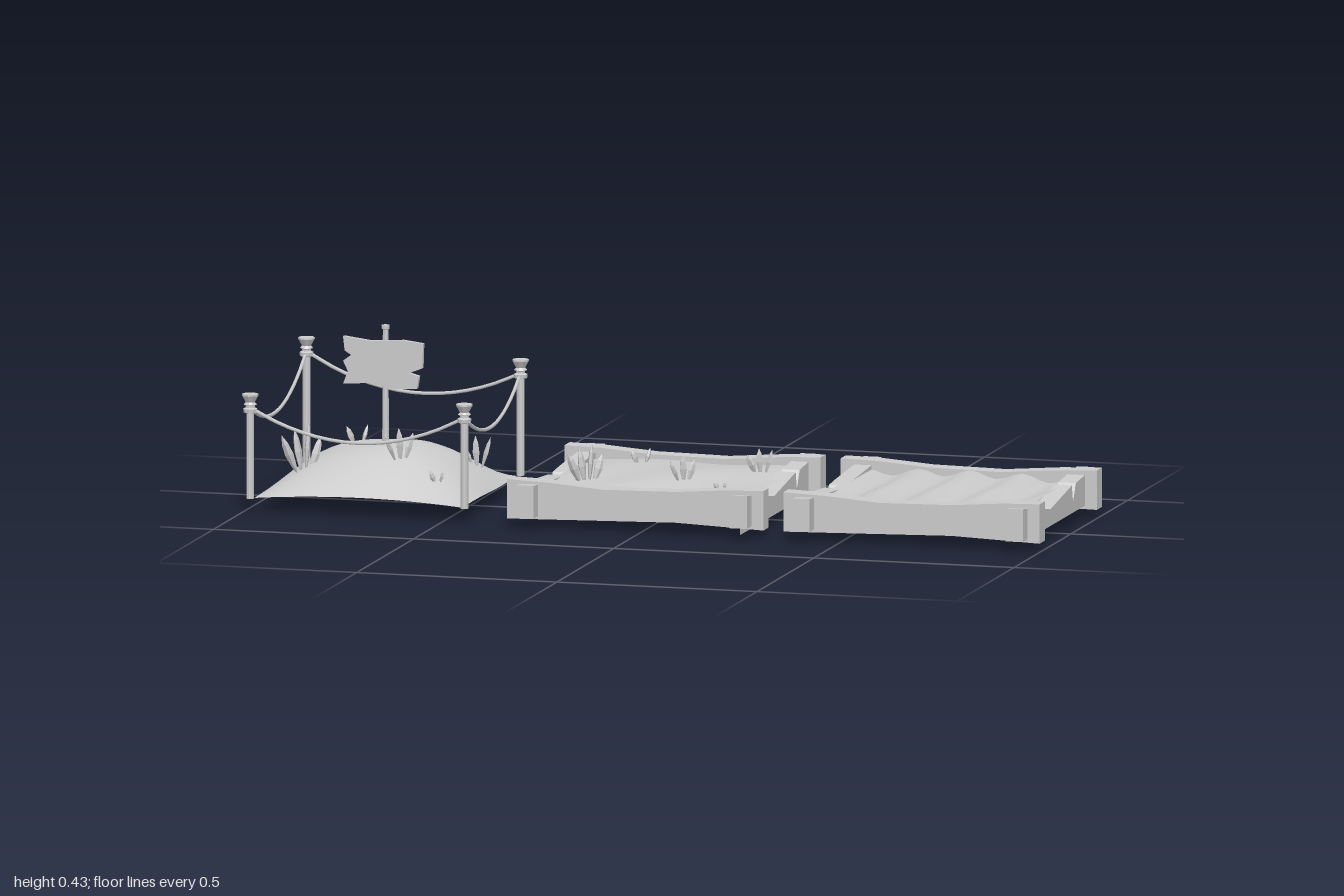
import * as THREE from 'three';

const grey = new THREE.MeshStandardMaterial({ color: 0xcccccc, flatShading: true });
const sheet = new THREE.MeshStandardMaterial({ color: 0xcccccc, side: THREE.DoubleSide });

function add(parent, name, geometry, material = grey) {
  const mesh = new THREE.Mesh(geometry, material);
  mesh.name = name;
  parent.add(mesh);
  return mesh;
}

// Soil sheet whose height follows a rule; u and v run from -1 to 1
function soil(parent, name, x, width, depth, height) {
  const g = new THREE.PlaneGeometry(width, depth, 24, 16).rotateX(-Math.PI / 2);
  const p = g.attributes.position;
  for (let i = 0; i < p.count; i++) {
    p.setY(i, height(p.getX(i) / (width / 2), p.getZ(i) / (depth / 2)));
  }
  g.computeVertexNormals();
  add(parent, name, g, sheet).position.x = x;
}

// Worn beam: a side profile of [along, up] points, extruded to its thickness
function beam(profile, thickness) {
  const shape = new THREE.Shape(profile.map(([a, b]) => new THREE.Vector2(a, b)));
  return new THREE.ExtrudeGeometry(shape, { depth: thickness, bevelEnabled: false })
    .translate(0, 0, -thickness / 2);
}

// Frame of four crossing beams
function frame(parent, x) {
  const g = new THREE.Group();
  g.name = 'bedFrame';
  g.position.x = x;
  parent.add(g);
  const long = [[-0.32, 0.021], [-0.22, 0.023], [0.1, 0.03], [0.25, 0.024], [0.32, 0.021],
    [0.32, 0.117], [0.23, 0.115], [0.1, 0.105], [-0.08, 0.102], [-0.22, 0.113], [-0.32, 0.117]];
  add(g, 'frontBeam', beam(long, 0.046)).position.z = 0.252;
  const back = add(g, 'backBeam', beam(long, 0.046));
  back.position.z = -0.252;
  back.rotation.y = Math.PI;
  // Side beams; u runs towards the back
  const right = [[-0.315, 0.03], [0.315, 0.03], [0.315, 0.11], [0.22, 0.104], [0.15, 0.098],
    [0.125, 0.056], [0.115, 0.098], [0.06, 0.09], [-0.075, 0.071], [-0.235, 0.1], [-0.315, 0.11]];
  const left = [[-0.315, 0.03], [0.315, 0.03], [0.315, 0.11], [0.22, 0.103], [0.06, 0.094],
    [0.01, 0.09], [-0.005, 0.072], [-0.03, 0.09], [-0.22, 0.103], [-0.315, 0.11]];
  [['leftBeam', right, 0.268], ['rightBeam', left, -0.265]].forEach(([name, profile, bx]) => {
    const b = add(g, name, beam(profile, 0.044));
    b.position.x = bx;
    b.rotation.y = Math.PI / 2;
  });
  return g;
}

// Pointed blade with its foot at the origin
const bladeProfile = [[0.001, -0.12], [0.55, 0.1], [1, 0.45], [0.75, 0.75], [0.001, 1]]
  .map(([r, y]) => new THREE.Vector2(r, y));
function blade(parent, height, radius, leanX, leanZ, turn) {
  const g = new THREE.LatheGeometry(bladeProfile, 5).scale(radius, height, radius * 0.6);
  const m = add(parent, 'blade', g);
  m.rotation.set(leanZ, turn, -leanX, 'ZXY');
}

// Tufts of blades shared by the two planted plots: x, z, height, blade count
const tufts = [
  [-0.175, 0.105, 0.1, 4], [-0.105, -0.13, 0.055, 2], [0.065, 0.1, 0.07, 3],
  [0.2, -0.1, 0.072, 3], [0.17, 0.14, 0.035, 2],
];
function plant(parent, x, ground, size) {
  tufts.forEach(([tx, tz, h, n], k) => {
    const tuft = new THREE.Group();
    tuft.name = 'tuft';
    tuft.position.set(x + tx, ground(tx, tz) - 0.004, tz);
    parent.add(tuft);
    for (let i = 0; i < n; i++) {
      const t = n > 1 ? i / (n - 1) - 0.5 : 0;
      const tall = h * size * (1 - 0.45 * Math.abs(t - 0.1 * (k % 2)) - 0.1 * (i % 2));
      blade(tuft, tall, 0.006 + h * 0.055, t * 0.55 - 0.05, -t * 0.5, k + i);
      const b = tuft.children[i];
      b.position.set(t * h * 0.3, 0, -t * h * 0.25);
    }
  });
}

// Fence post with a collar and a flared cap
function fencePost(parent, x, z, top) {
  const r = [[0, 0.035], [0.0095, 0.035], [0.0095, top - 0.047], [0.016, top - 0.045],
    [0.017, top - 0.036], [0.011, top - 0.033], [0.011, top - 0.028], [0.016, top - 0.026],
    [0.011, top - 0.02], [0.02, top - 0.004], [0.02, top], [0, top]];
  const g = new THREE.LatheGeometry(r.map(([a, b]) => new THREE.Vector2(a, b)), 10);
  add(parent, 'fencePost', g).position.set(x, 0, z);
}

// Rope hanging between two points
function rope(parent, a, b, sag) {
  const points = [];
  for (let i = 0; i <= 8; i++) {
    const t = i / 8;
    const p = new THREE.Vector3().lerpVectors(a, b, t);
    p.y -= sag * 4 * t * (1 - t);
    points.push(p);
  }
  const curve = new THREE.CatmullRomCurve3(points);
  add(parent, 'rope', new THREE.TubeGeometry(curve, 16, 0.0045, 6), sheet);
}

export function createModel() {
  const model = new THREE.Group();
  model.name = 'gardenPlots';

  // Roped mound
  const mound = new THREE.Group();
  mound.name = 'ropedMound';
  model.add(mound);
  const mx = -0.712;
  const moundHeight = (u, v) => {
    const fall = (1 - Math.pow(Math.abs(u), 2.4)) * (1 - Math.pow(Math.abs(v + 0.08 * (1 - v * v)), 2.2));
    return 0.035 + 0.108 * Math.max(0, fall) + 0.012 * (1 - u * u) * Math.abs(v) + 0.003 * Math.sin(u * 6 + v * 2) * (1 - v * v);
  };
  soil(mound, 'moundSoil', mx, 0.52, 0.475, moundHeight);
  plant(mound, mx, (x, z) => moundHeight(x / 0.26, z / 0.2375), 1.25);

  // Fence corners in order round the mound: x, z, top
  const corners = [[-0.98, 0.247, 0.29], [-0.445, 0.247, 0.29], [-0.445, -0.248, 0.318], [-0.98, -0.248, 0.347]];
  corners.forEach(([x, z, top], i) => {
    fencePost(mound, x, z, top);
    const [nx, nz, ntop] = corners[(i + 1) % 4];
    rope(mound, new THREE.Vector3(x, top - 0.034, z), new THREE.Vector3(nx, ntop - 0.034, nz), 0.074);
  });

  // Sign post and weathered board
  const stake = [[0, 0.05], [0.009, 0.05], [0.007, 0.42], [0.01, 0.421], [0.01, 0.43], [0, 0.43]];
  add(mound, 'signPost', new THREE.LatheGeometry(stake.map(([a, b]) => new THREE.Vector2(a, b)), 8))
    .position.x = mx;
  const board = [[-0.1, 0.284], [-0.04, 0.288], [0.03, 0.277], [0.085, 0.28], [0.09, 0.31],
    [0.065, 0.317], [0.098, 0.33], [0.1, 0.39], [0.05, 0.396], [-0.03, 0.391], [-0.1, 0.4],
    [-0.096, 0.365], [-0.08, 0.355], [-0.1, 0.34], [-0.088, 0.315]];
  add(mound, 'signBoard', beam(board, 0.012)).position.set(mx - 0.003, 0, 0.006);

  // Planted bed
  const planted = frame(model, -0.01);
  const bedHeight = (u, v) => 0.09 + 0.018 * (1 - u * u) * (1 - v * v) + 0.003 * Math.sin(u * 5 + v * 3);
  soil(planted, 'bedSoil', 0.006, 0.52, 0.475, bedHeight);
  plant(planted, 0.006, (x, z) => bedHeight(x / 0.26, z / 0.2375), 1);
  // Thin lining under the bed's left side
  const lining = add(planted, 'lining', new THREE.PlaneGeometry(0.47, 0.035));
  lining.position.set(0.25, 0.0175, 0);
  lining.rotation.y = Math.PI / 2;

  // Furrowed bed
  const furrowed = frame(model, 0.68);
  soil(furrowed, 'furrowedSoil', 0.003, 0.52, 0.475,
    (u, v) => 0.086 + 0.009 * Math.cos(u * Math.PI * 4 + 0.3 * Math.sin(v * 3)) + 0.008 * (1 - u * u));

  return model;
}
